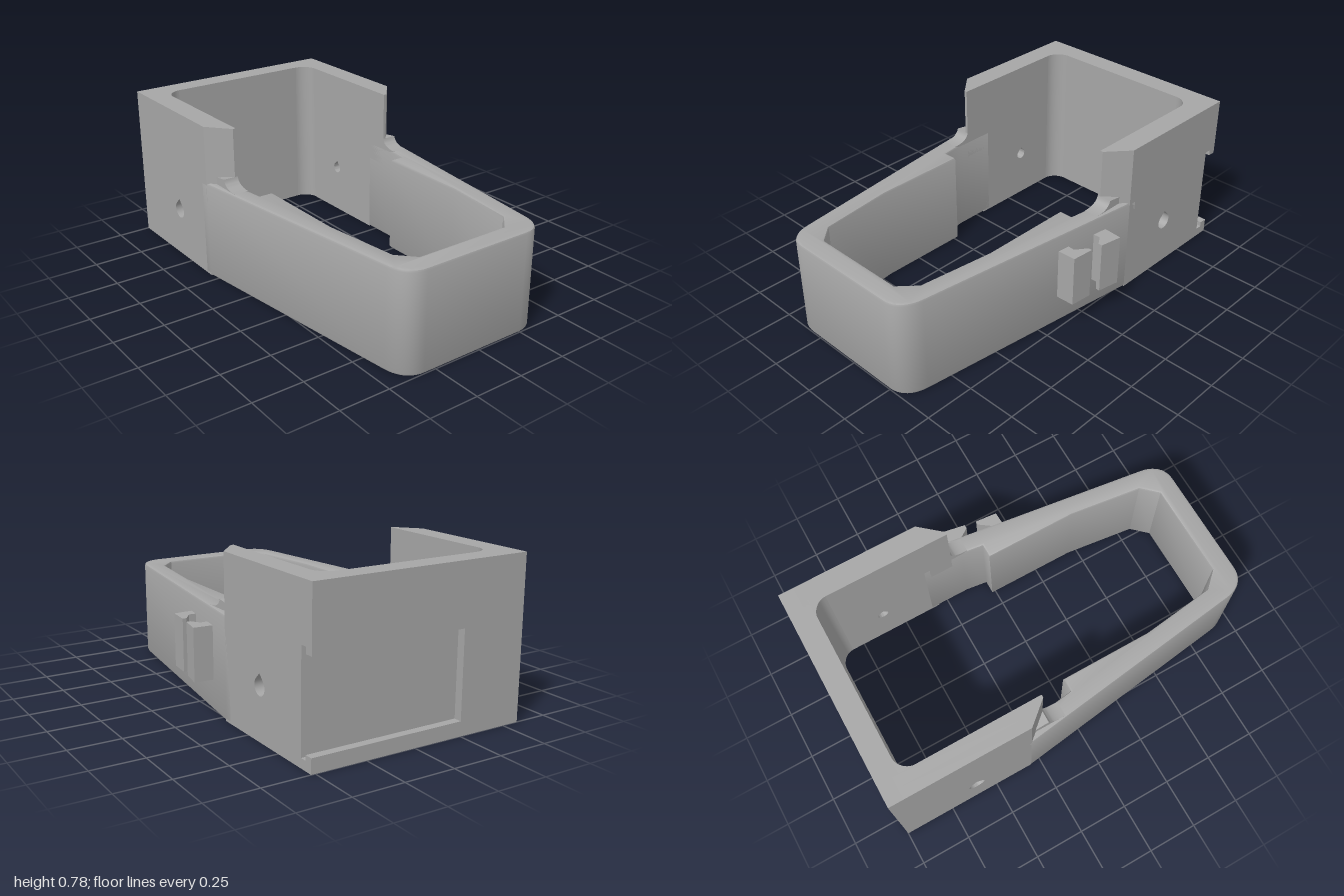
import * as THREE from 'three';
import { toCreasedNormals } from 'three/addons/utils/BufferGeometryUtils.js';

const CZ = 0.0325;                 // mid line between the two side walls
const OUT = 0.5525, IN = 0.4425;   // half widths of the wide end
const H = 0.78, LOW = 0.49;        // tall and low rim heights
const BACK = CZ - OUT, FRONT = CZ + OUT;

const poly = (pts) => new THREE.Shape(pts.map(([a, b]) => new THREE.Vector2(a, b)));

function extrude(shape, depth, bevel = 0) {
  return new THREE.ExtrudeGeometry(shape, {
    depth: depth - 2 * bevel, curveSegments: 10, bevelEnabled: bevel > 0,
    bevelSize: bevel, bevelThickness: bevel, bevelOffset: -bevel, bevelSegments: 2,
  }).translate(0, 0, bevel);
}

// Plan outline (x, -z) raised from y0 to y1
const raise = (shape, y0, y1, bevel) =>
  extrude(shape, y1 - y0, bevel).rotateX(-Math.PI / 2).translate(0, y0, 0);

// Outline (z, y) given thickness between x0 and x1
const endLayer = (shape, x0, x1) =>
  extrude(shape, x1 - x0).rotateY(-Math.PI / 2).translate(x1, 0, 0);

// Plan point on side s at half width w
const at = (x, w, s) => [x, -(CZ + s * w)];

// Round hole with a pointed top
function teardrop(x, y, r) {
  const p = new THREE.Path();
  const a = Math.PI / 4;
  p.moveTo(x, y + r * Math.SQRT2);
  p.lineTo(x - r * Math.cos(a), y + r * Math.sin(a));
  p.absarc(x, y, r, Math.PI - a, 2 * Math.PI + a, false);
  p.closePath();
  return p;
}

export function createModel() {
  const group = new THREE.Group();
  const grey = new THREE.MeshStandardMaterial({ color: 0xa6a6a6 });
  const add = (name, geo) => {
    const mesh = new THREE.Mesh(toCreasedNormals(geo, 0.6), grey);
    mesh.name = name;
    group.add(mesh);
  };

  // Low tapering loop with a rounded nose
  const loop = new THREE.Shape();
  loop.moveTo(...at(-0.34, OUT, 1));
  loop.lineTo(...at(-0.3, OUT, 1));
  loop.lineTo(...at(0.88, 0.4, 1));
  loop.bezierCurveTo(...at(0.95, 0.39, 1), ...at(1, 0.35, 1), ...at(1, 0.28, 1));
  loop.lineTo(...at(1, 0.28, -1));
  loop.bezierCurveTo(...at(1, 0.35, -1), ...at(0.95, 0.39, -1), ...at(0.88, 0.4, -1));
  loop.lineTo(...at(-0.3, OUT, -1));
  loop.lineTo(...at(-0.34, OUT, -1));
  const inner = [[-0.34, IN], [-0.13, IN], [-0.02, 0.428], [-0.02, 0.36],
    [0.45, 0.36], [0.82, 0.315], [0.9, 0.24]];
  inner.forEach(([x, w]) => loop.lineTo(...at(x, w, -1)));
  [...inner].reverse().forEach(([x, w]) => loop.lineTo(...at(x, w, 1)));
  add('taperedLoop', raise(loop, 0, LOW + 0.005, 0.012));

  for (const s of [1, -1]) {
    const side = s > 0 ? 'front' : 'back';

    // Tall side wall in two layers: wide hole outside, narrow hole inside
    const mid = (OUT + IN) / 2;
    for (const [w0, w1, r, label] of [[mid, OUT, 0.042, 'Outer'], [IN, mid, 0.028, 'Inner']]) {
      const wall = poly([[-0.925, 0], [-0.3, 0], [-0.3, H], [-0.925, H]]);
      wall.holes.push(teardrop(-0.6, 0.25, r));
      const z0 = s > 0 ? CZ + w0 : CZ - w1;
      add(side + 'Wall' + label, extrude(wall, w1 - w0).translate(0, 0, z0));
    }

    // Slanted end of the tall wall
    const slant = poly([at(-0.31, IN, s), at(-0.19, IN, s), at(-0.19, IN + 0.015, s),
      at(-0.3, OUT, s), at(-0.31, OUT, s)]);
    add(side + 'WallEnd', raise(slant, 0.4, H));

    // Curved step from the tall wall down to the low rim
    const step = new THREE.Shape();
    step.moveTo(-0.26, 0.46);
    step.lineTo(-0.1, 0.46);
    step.lineTo(-0.1, LOW + 0.005);
    step.quadraticCurveTo(-0.18, LOW + 0.005, -0.19, 0.54);
    step.lineTo(-0.26, 0.53);
    add(side + 'Step', extrude(step, 0.075).translate(0, 0, s > 0 ? CZ + IN : CZ - IN - 0.075));

    // Rounded inside corner
    const R = 0.075, cx = -0.89;
    const corner = new THREE.Shape();
    corner.moveTo(...at(cx - 0.005, IN + 0.005, s));
    corner.lineTo(...at(cx + R, IN + 0.005, s));
    corner.lineTo(...at(cx + R, IN, s));
    corner.bezierCurveTo(...at(cx + R * 0.45, IN, s), ...at(cx, IN - R * 0.55, s), ...at(cx, IN - R, s));
    corner.lineTo(...at(cx - 0.005, IN - R, s));
    add(side + 'InsideCorner', raise(corner, 0, H));
  }

  // End wall: solid plate, then two notched layers forming an undercut slot open at the back
  add('endPlate', endLayer(poly([[BACK, 0], [FRONT, 0], [FRONT, H], [BACK, H]]), -0.92, -0.89));
  const notched = (y0, y1, z) => poly([[BACK, 0], [FRONT, 0], [FRONT, H], [BACK, H],
    [BACK, y1], [z, y1], [z, y0], [BACK, y0]]);
  add('slotPocket', endLayer(notched(0.045, 0.515, 0.29), -0.96, -0.92));
  add('slotLip', endLayer(notched(0.07, 0.485, 0.25), -1, -0.96));

  // Pair of hooked clips on the back
  const clips = {
    clipRight: [[-0.14, -0.595], [-0.03, -0.575], [-0.03, -0.555], [-0.075, -0.525],
      [-0.07, -0.45], [-0.15, -0.45]],
    clipLeft: [[0.03, -0.565], [0.14, -0.555], [0.145, -0.43], [0.08, -0.43],
      [0.085, -0.505], [0.03, -0.545]],
  };
  for (const [name, pts] of Object.entries(clips)) {
    add(name, raise(poly(pts.map(([x, z]) => [x, -z])), 0.15, 0.41));
  }
  return group;
}
